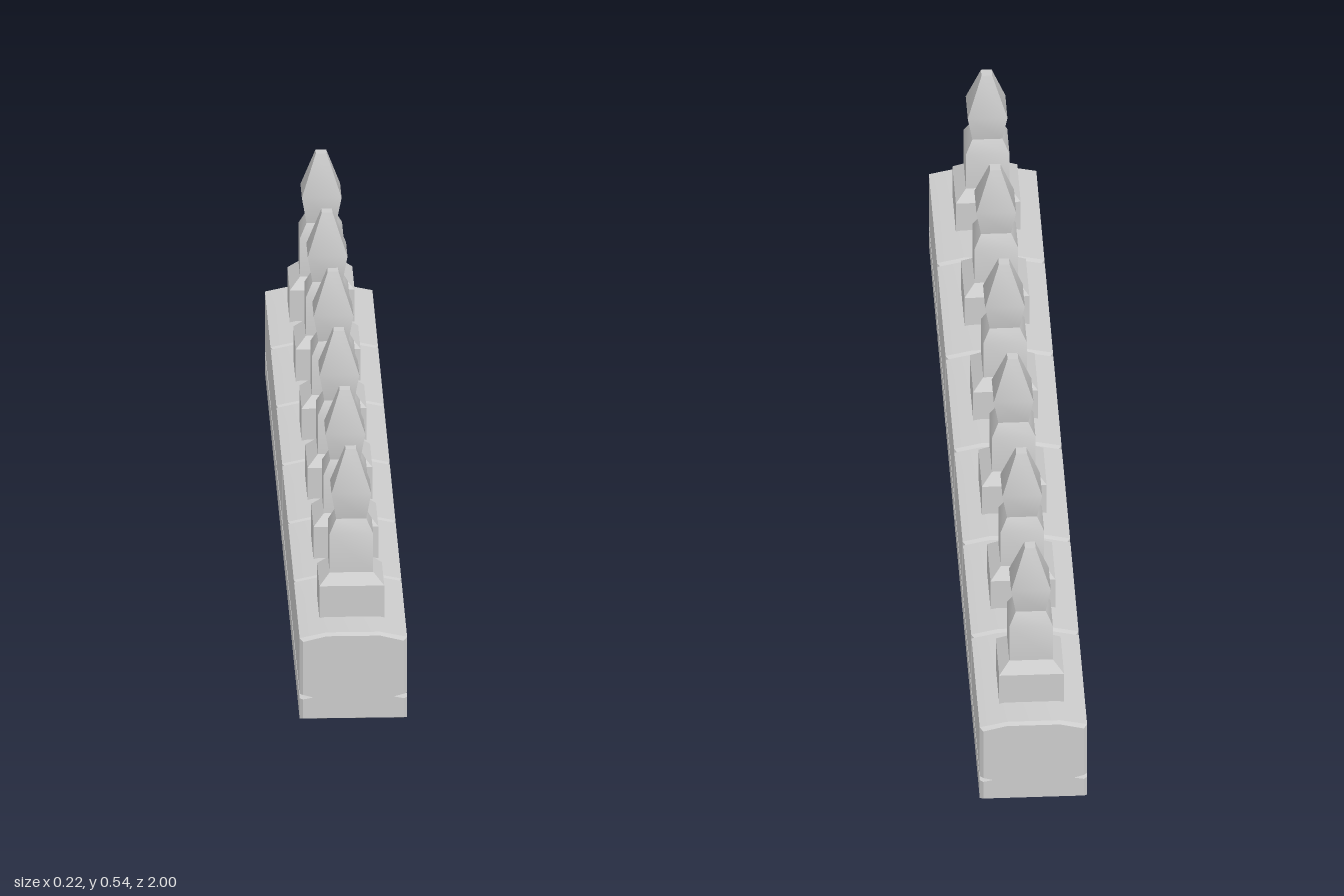
import * as THREE from 'three';
import { toCreasedNormals } from 'three/addons/utils/BufferGeometryUtils.js';

const COUNT = 6;
const LENGTH = 2 / COUNT;
const BEVEL = 0.007;
const CREASE = 0.55;

// Block: grooved cross-section run along z, with both ends chamfered
function blockGeometry() {
  const half = [[0.111, 0], [0.111, 0.045], [0.083, 0.049], [0.111, 0.055], [0.111, 0.178], [0.055, 0.19]];
  const mirrored = half.map(([x, y]) => [-x, y]).reverse();
  const shape = new THREE.Shape([...half, ...mirrored].map(([x, y]) => new THREE.Vector2(x, y)));
  const geo = new THREE.ExtrudeGeometry(shape, { depth: 3, steps: 3, bevelEnabled: false });
  const pos = geo.attributes.position;
  for (let i = 0; i < pos.count; i++) {
    let x = pos.getX(i), y = pos.getY(i);
    const ring = Math.round(pos.getZ(i));
    const z = [-LENGTH / 2, -LENGTH / 2 + BEVEL, LENGTH / 2 - BEVEL, LENGTH / 2][ring];
    if (ring === 0 || ring === 3) {
      if (Math.abs(x) > 0.1) x -= Math.sign(x) * BEVEL;
      if (y > 0.17) y -= 0.006;
      if (y < 0.01) y += 0.003;
    }
    pos.setXYZ(i, x, y, z);
  }
  return toCreasedNormals(geo, CREASE);
}

// Spire: square stepped post with a pointed finial, given as half width and height
function spireGeometry() {
  const profile = [
    [0, 0.18], [0.067, 0.18], [0.067, 0.258], [0.045, 0.28], [0.045, 0.365],
    [0.031, 0.393], [0.041, 0.452], [0.011, 0.539], [0, 0.539],
  ].map(([w, y]) => new THREE.Vector2(w * Math.SQRT2, y));
  return toCreasedNormals(new THREE.LatheGeometry(profile, 4, Math.PI / 4), CREASE);
}

export function createModel() {
  const model = new THREE.Group();
  model.name = 'spikedWall';
  const material = new THREE.MeshStandardMaterial({ color: 0xcccccc });
  const blockGeo = blockGeometry();
  const spireGeo = spireGeometry();

  for (let i = 0; i < COUNT; i++) {
    const block = new THREE.Mesh(blockGeo, material);
    block.name = `block${i + 1}`;
    block.position.z = 1 - LENGTH * (i + 0.5);

    const spire = new THREE.Mesh(spireGeo, material);
    spire.name = `spire${i + 1}`;
    spire.position.z = 0.838 - 0.339 * i;

    model.add(block, spire);
  }
  return model;
}
